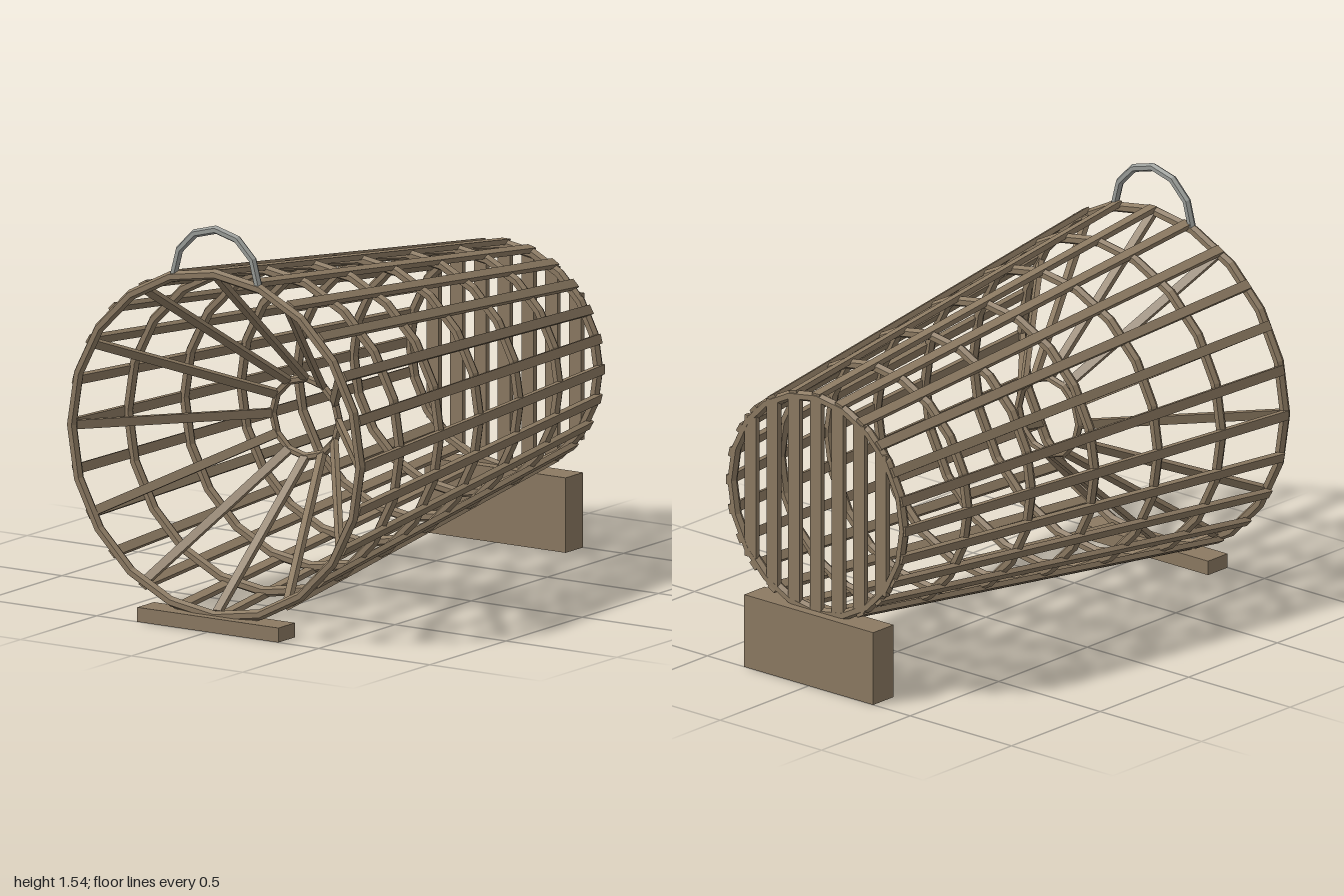
import * as THREE from 'three';

const wood = new THREE.MeshStandardMaterial({ color: 0x8c7a62 });
wood.name = 'weathered wood';
wood.flatShading = true;
const metal = new THREE.MeshStandardMaterial({ color: 0x9a9d99 });
metal.name = 'grey metal';
metal.flatShading = true;

const AXIS_Y = 0.7;   // height of the basket axis
const Z_END = 0.945;  // end rings sit at +/- this z

function add(parent, name, geometry, material, x = 0, y = 0, z = 0) {
  const mesh = new THREE.Mesh(geometry, material);
  mesh.name = name;
  mesh.position.set(x, y, z);
  parent.add(mesh);
  return mesh;
}

// Lath running from (r0, z0) to (r1, z1) at a given angle round the axis, flat side outwards
function radialSlat(parent, name, angle, r0, z0, r1, z1, width, thick) {
  const c = Math.cos(angle), s = Math.sin(angle);
  const a = new THREE.Vector3(c * r0, s * r0, z0);
  const b = new THREE.Vector3(c * r1, s * r1, z1);
  const along = b.clone().sub(a);
  const length = along.length();
  along.normalize();
  const side = new THREE.Vector3(-s, c, 0);
  const out = side.clone().cross(along);
  const mesh = add(parent, name, new THREE.BoxGeometry(width, thick, length), wood);
  mesh.quaternion.setFromRotationMatrix(new THREE.Matrix4().makeBasis(side, along.clone().cross(side), along));
  mesh.position.copy(a).add(b).multiplyScalar(0.5);
  return out;
}

export function createModel() {
  const model = new THREE.Group();
  model.name = 'basketTrap';

  const basket = new THREE.Group();
  basket.name = 'basket';
  basket.position.y = AXIS_Y;
  model.add(basket);

  // Seven hoops shrinking towards the back
  for (let i = 0; i < 7; i++) {
    const t = i / 6;
    const radius = THREE.MathUtils.lerp(0.65, 0.424, t);
    add(basket, 'hoop', new THREE.TorusGeometry(radius, 0.02, 6, 20), wood, 0, 0, Z_END * (1 - 2 * t));
  }

  // Long laths around the hoops
  for (let i = 0; i < 24; i++) {
    radialSlat(basket, 'sideSlat', i * Math.PI / 12, 0.66, 0.945, 0.433, -0.96, 0.037, 0.02);
  }

  // Entrance funnel and its inner ring
  for (let i = 0; i < 12; i++) {
    radialSlat(basket, 'funnelSlat', i * Math.PI / 6, 0.635, 0.935, 0.15, 0.36, 0.034, 0.02);
  }
  add(basket, 'funnelRing', new THREE.TorusGeometry(0.15, 0.016, 6, 12), wood, 0, 0, 0.355);

  // Upright slats closing the back
  for (let i = -3; i <= 3; i++) {
    const x = i * 0.107;
    const height = 2 * Math.sqrt(0.425 ** 2 - x * x);
    add(basket, 'backSlat', new THREE.BoxGeometry(0.056, height, 0.02), wood, x, 0, -0.952);
  }

  // Carrying handle
  add(model, 'handle', new THREE.TorusGeometry(0.19, 0.016, 6, 6, Math.PI), metal, 0, 1.33, 0.945);

  // Support blocks
  add(model, 'frontBlock', new THREE.BoxGeometry(0.636, 0.055, 0.11), wood, 0, 0.0275, 0.945);
  add(model, 'backBlock', new THREE.BoxGeometry(0.636, 0.285, 0.115), wood, 0, 0.1425, -0.9425);

  return model;
}
